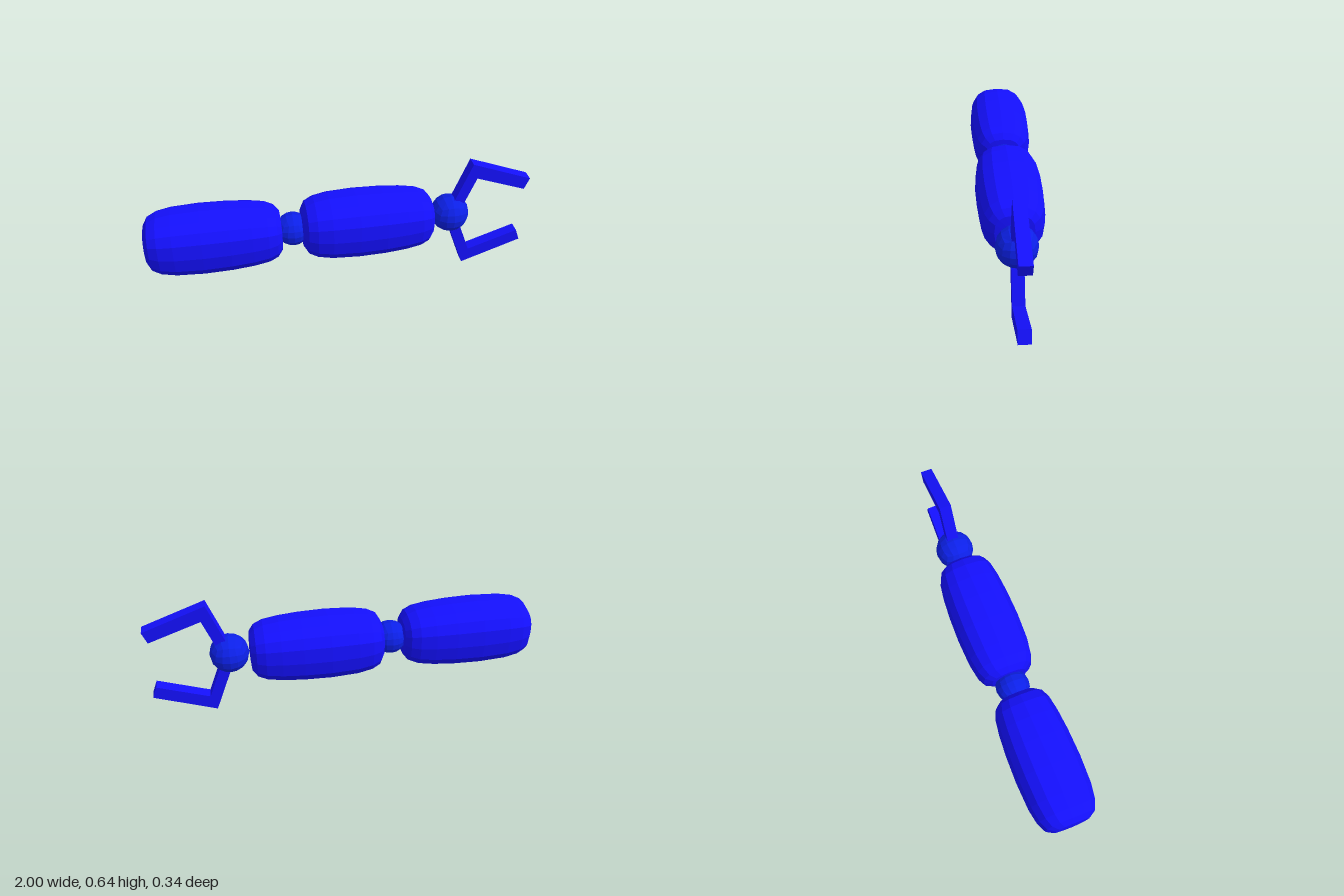
import * as THREE from 'three';

const paint = color => new THREE.MeshStandardMaterial({ color, flatShading: true });
const AXIS_Y = 0.332;

// Arm segment: 16-sided, slightly squared rings lofted along x
function segmentGeometry() {
  const profile = [
    [0, 0], [0.003, 0.05], [0.007, 0.09], [0.03, 0.128], [0.075, 0.149], [0.15, 0.162],
    [0.29, 0.168], [0.43, 0.165], [0.54, 0.157], [0.62, 0.145], [0.665, 0.126],
    [0.69, 0.095], [0.694, 0.05], [0.696, 0],
  ];
  const sides = 16, pos = [], index = [];
  const soften = v => Math.sign(v) * Math.pow(Math.abs(v), 0.78);
  profile.forEach(([x, r], i) => {
    for (let j = 0; j < sides; j++) {
      const t = (j / sides) * Math.PI * 2;
      pos.push(x, r * soften(Math.cos(t)), r * 1.015 * soften(Math.sin(t)));
      if (i === profile.length - 1) continue;
      const a = i * sides + j, b = i * sides + (j + 1) % sides;
      if (r > 0) index.push(a, b, a + sides);
      if (profile[i + 1][1] > 0) index.push(b, b + sides, a + sides);
    }
  });
  const geo = new THREE.BufferGeometry();
  geo.setAttribute('position', new THREE.Float32BufferAttribute(pos, 3));
  geo.setIndex(index);
  geo.computeVertexNormals();
  return geo;
}

// Joint ball: a subdivided cube pushed out to a sphere
function ballGeometry(radius) {
  const geo = new THREE.BoxGeometry(2, 2, 2, 4, 4, 4);
  const p = geo.attributes.position, v = new THREE.Vector3();
  for (let i = 0; i < p.count; i++) {
    v.fromBufferAttribute(p, i);
    v.set(...v.toArray().map(c => Math.tan(c * Math.PI / 4))).setLength(radius);
    p.setXYZ(i, v.x, v.y, v.z);
  }
  geo.computeVertexNormals();
  return geo;
}

// Bent claw finger; flip = -1 gives the lower one
function fingerGeometry(flip) {
  const outline = [
    [0.58, 0.045], [0.635, 0.03], [0.711, 0.232], [0.976, 0.137], [1.0, 0.2], [0.682, 0.3185],
  ].map(([x, y]) => new THREE.Vector2(x, y * flip));
  const geo = new THREE.ExtrudeGeometry(new THREE.Shape(outline), { depth: 0.06, bevelEnabled: false });
  return geo.translate(0, 0.3185, -0.03);
}

export function createModel() {
  const model = new THREE.Group();
  model.name = 'roboticArm';
  const bodyMat = paint(0x1410ff), ballMat = paint(0x0c20e8);
  const add = (name, geo, mat, x = 0, y = 0) => {
    const mesh = new THREE.Mesh(geo, mat);
    mesh.name = name;
    mesh.position.set(x, y, 0);
    model.add(mesh);
  };

  // Upper arm and forearm
  const segment = segmentGeometry();
  add('upperArm', segment, bodyMat, -1, AXIS_Y);
  add('forearm', segment, bodyMat, -0.207, AXIS_Y);

  // Joints
  add('elbowBall', ballGeometry(0.088), ballMat, -0.247, AXIS_Y);
  add('wristBall', ballGeometry(0.101), ballMat, 0.59, AXIS_Y);

  // Gripper
  add('upperFinger', fingerGeometry(1), bodyMat);
  add('lowerFinger', fingerGeometry(-1), bodyMat);
  return model;
}
